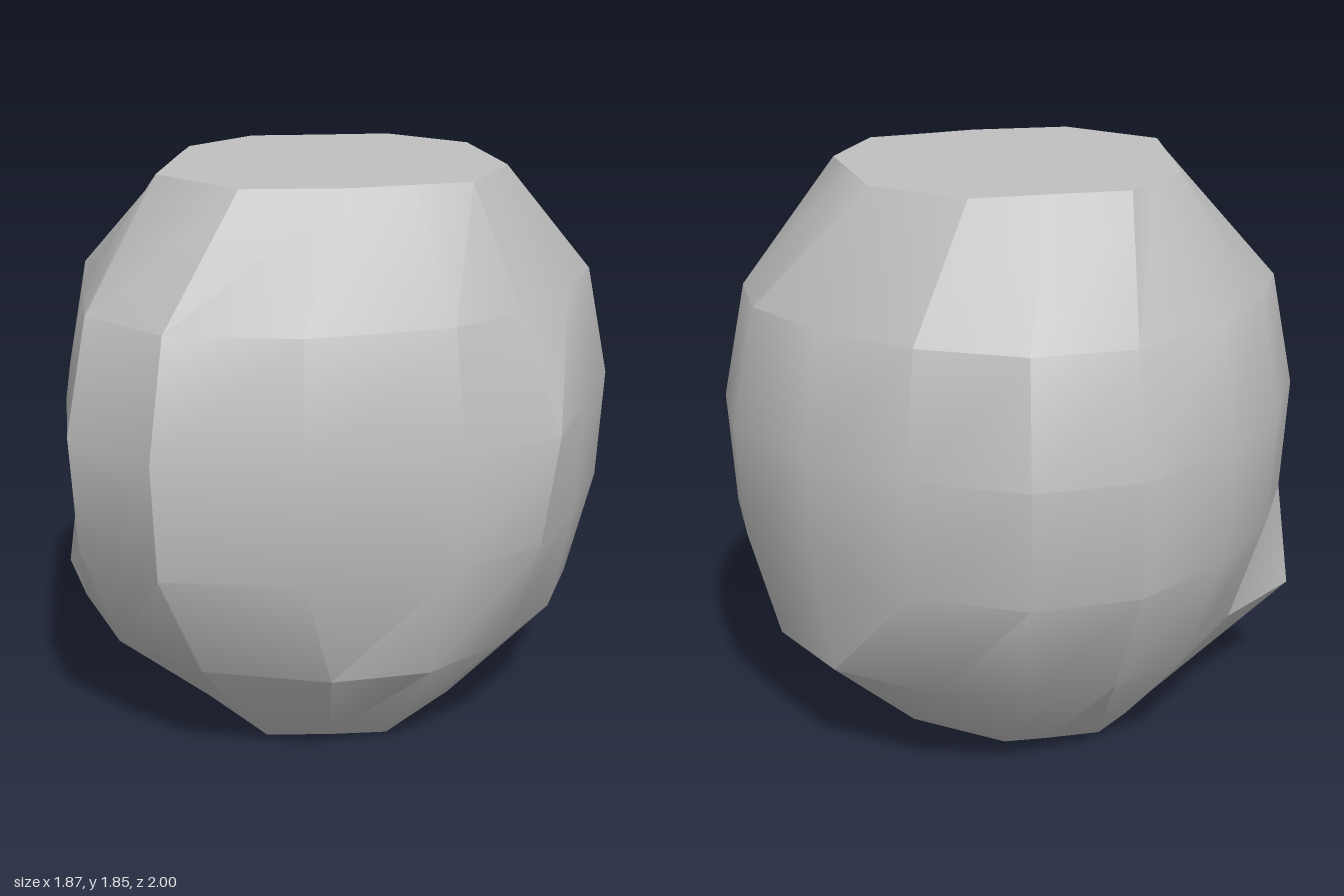
import * as THREE from 'three';
import { toCreasedNormals } from 'three/addons/utils/BufferGeometryUtils.js';

// Cross-sections as [x, z], starting at the front and turning towards +x
const bottom = [[.1, .46], [.26, .33], [.4, .2], [.4, .03], [.4, -.17], [.31, -.28], [.2, -.39], [.1, -.49],
  [-.24, -.46], [-.36, -.36], [-.48, -.25], [-.5, -.1], [-.51, .1], [-.42, .19], [-.33, .28], [-.24, .37]];
const low = [[.12, .79], [.48, .6], [.68, .36], [.74, .05], [.71, -.3], [.6, -.6], [.42, -.77], [.12, -.89],
  [-.24, -.86], [-.5, -.74], [-.68, -.54], [-.79, -.3], [-.79, .07], [-.86, .42], [-.59, .6], [-.24, .79]];
const middle = [[.13, 1], [.5, .76], [.79, .36], [.93, .05], [.81, -.3], [.69, -.66], [.47, -.88], [.12, -.99],
  [-.24, -1], [-.59, -.9], [-.83, -.66], [-.935, -.3], [-.93, .05], [-.84, .39], [-.55, .68], [-.24, .97]];
const top = [[.12, .58], [.37, .36], [.48, .2], [.59, .05], [.54, -.13], [.49, -.3], [.3, -.47], [.12, -.63],
  [-.23, -.64], [-.4, -.47], [-.58, -.3], [-.58, -.17], [-.58, .03], [-.48, .19], [-.37, .36], [-.26, .53]];

// Shrinks a section, with its own factor for the corner on the left side
const shrink = (ring, k, corner) => ring.map(([x, z], i) => [x * (i === 3 ? corner : k), z * k]);

const layers = [
  [0, bottom], [.37, low], [.74, shrink(middle, .98, .94)],
  [1.11, middle], [1.475, shrink(middle, .92, .83)], [1.845, top],
];

function mesh(name, positions, material) {
  const geometry = new THREE.BufferGeometry();
  geometry.setAttribute('position', new THREE.Float32BufferAttribute(positions, 3));
  const m = new THREE.Mesh(toCreasedNormals(geometry, 0.55), material);
  m.name = name;
  return m;
}

export function createModel() {
  const stone = new THREE.MeshStandardMaterial({ color: 0xc0c0c0 });
  stone.name = 'grey stone';
  const group = new THREE.Group();
  group.name = 'boulder';
  const n = top.length;
  const point = (layer, j) => {
    const [y, ring] = layers[layer];
    const [x, z] = ring[j % n];
    return [x, y, z];
  };

  // Rounded sides, skinned between neighbouring sections
  const sides = [];
  for (let i = 0; i < layers.length - 1; i++) {
    for (let j = 0; j < n; j++) {
      const a = point(i, j), b = point(i, j + 1), c = point(i + 1, j + 1), d = point(i + 1, j);
      sides.push(...a, ...b, ...c, ...a, ...c, ...d);
    }
  }
  group.add(mesh('rockSides', sides, stone));

  // Flat cut faces above and below
  const last = layers.length - 1;
  const upper = [], lower = [];
  for (let j = 0; j < n; j++) {
    upper.push(0, layers[last][0], 0, ...point(last, j), ...point(last, j + 1));
    lower.push(0, 0, 0, ...point(0, j + 1), ...point(0, j));
  }
  group.add(mesh('flatTop', upper, stone), mesh('flatBase', lower, stone));
  return group;
}
